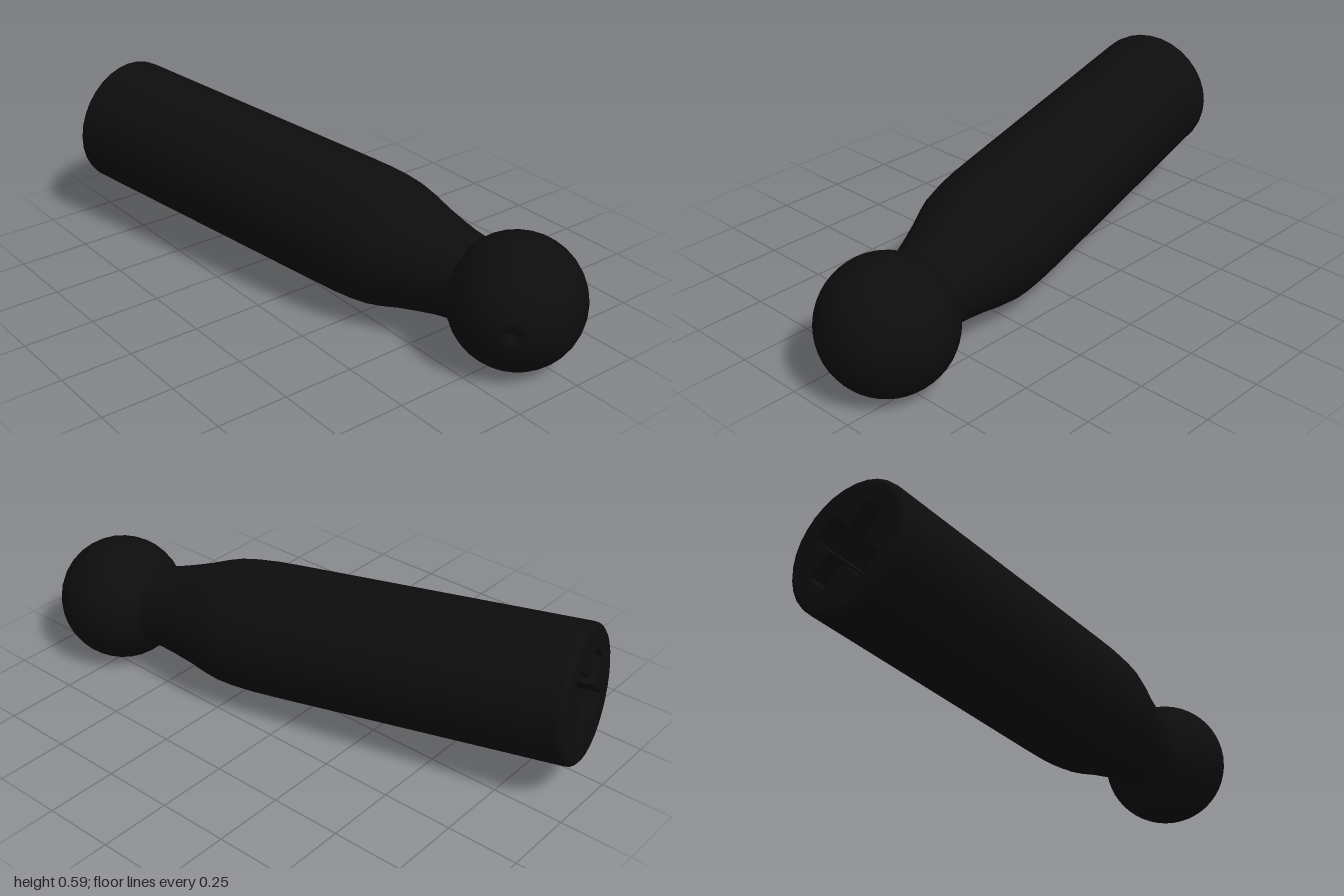
import * as THREE from 'three';

const BALL_R = 0.223, END = 1.766, SOCKET_DEPTH = 0.4;

// Plus-shaped hole, turned 45 degrees
function crossPath(r, w) {
  const pts = [];
  for (let i = 0; i < 4; i++) {
    const a = Math.PI / 4 + i * Math.PI / 2, c = Math.cos(a), s = Math.sin(a);
    for (const [u, v] of [[w, -w], [r * 0.94, -w], [r, 0], [r * 0.94, w]]) {
      pts.push(new THREE.Vector2(u * c - v * s, u * s + v * c));
    }
  }
  return new THREE.Path(pts);
}

export function createModel() {
  const model = new THREE.Group();
  const black = new THREE.MeshStandardMaterial({ color: 0x0d0d0d });
  black.name = 'black';
  const add = (parent, name, geometry) => {
    const mesh = new THREE.Mesh(geometry, black);
    mesh.name = name;
    parent.add(mesh);
    return mesh;
  };
  const center = new THREE.Vector3(0.19, BALL_R, 0.777);

  // Ball with a tiny dimple at its pole
  const profile = [];
  const dimple = 0.09;
  for (let i = 0; i <= 24; i++) {
    const a = Math.PI - (Math.PI - dimple) * i / 24;
    profile.push(new THREE.Vector2(Math.max(0, Math.sin(a) * BALL_R), Math.cos(a) * BALL_R));
  }
  profile.push(new THREE.Vector2(0.018, 0.2), new THREE.Vector2(0, 0.2));
  const ball = add(model, 'ball', new THREE.LatheGeometry(profile, 32));
  ball.position.copy(center);
  ball.quaternion.setFromUnitVectors(new THREE.Vector3(0, 1, 0), new THREE.Vector3(-0.165, 0, 0.148).normalize());

  // Shaft group: local +z runs from the ball to the far end
  const shaft = new THREE.Group();
  shaft.name = 'shaft';
  shaft.position.copy(center);
  shaft.lookAt(-0.185, 0.36, -0.945);
  model.add(shaft);

  // Neck flaring into a straight barrel with a softened rim
  const body = [
    [0.14, 0.12], [0.143, 0.18], [0.15, 0.23], [0.164, 0.29], [0.184, 0.365], [0.205, 0.43],
    [0.219, 0.485], [0.226, 0.54], [0.23, 0.61], [0.231, 0.7], [0.231, END - 0.025],
    [0.228, END - 0.01], [0.218, END - 0.001], [0.209, END]
  ].map(([r, y]) => new THREE.Vector2(r, y));
  add(shaft, 'barrel', new THREE.LatheGeometry(body, 32).rotateX(Math.PI / 2));

  // End face with the cross socket cut into it
  const disc = new THREE.Shape().absarc(0, 0, 0.21, 0, Math.PI * 2);
  disc.holes.push(crossPath(0.15, 0.046));
  const socket = new THREE.ExtrudeGeometry(disc, { depth: SOCKET_DEPTH, bevelEnabled: false, curveSegments: 32 });
  add(shaft, 'crossSocket', socket.translate(0, 0, END - SOCKET_DEPTH));
  add(shaft, 'socketFloor', new THREE.CircleGeometry(0.2, 32).translate(0, 0, END - SOCKET_DEPTH));

  return model;
}
